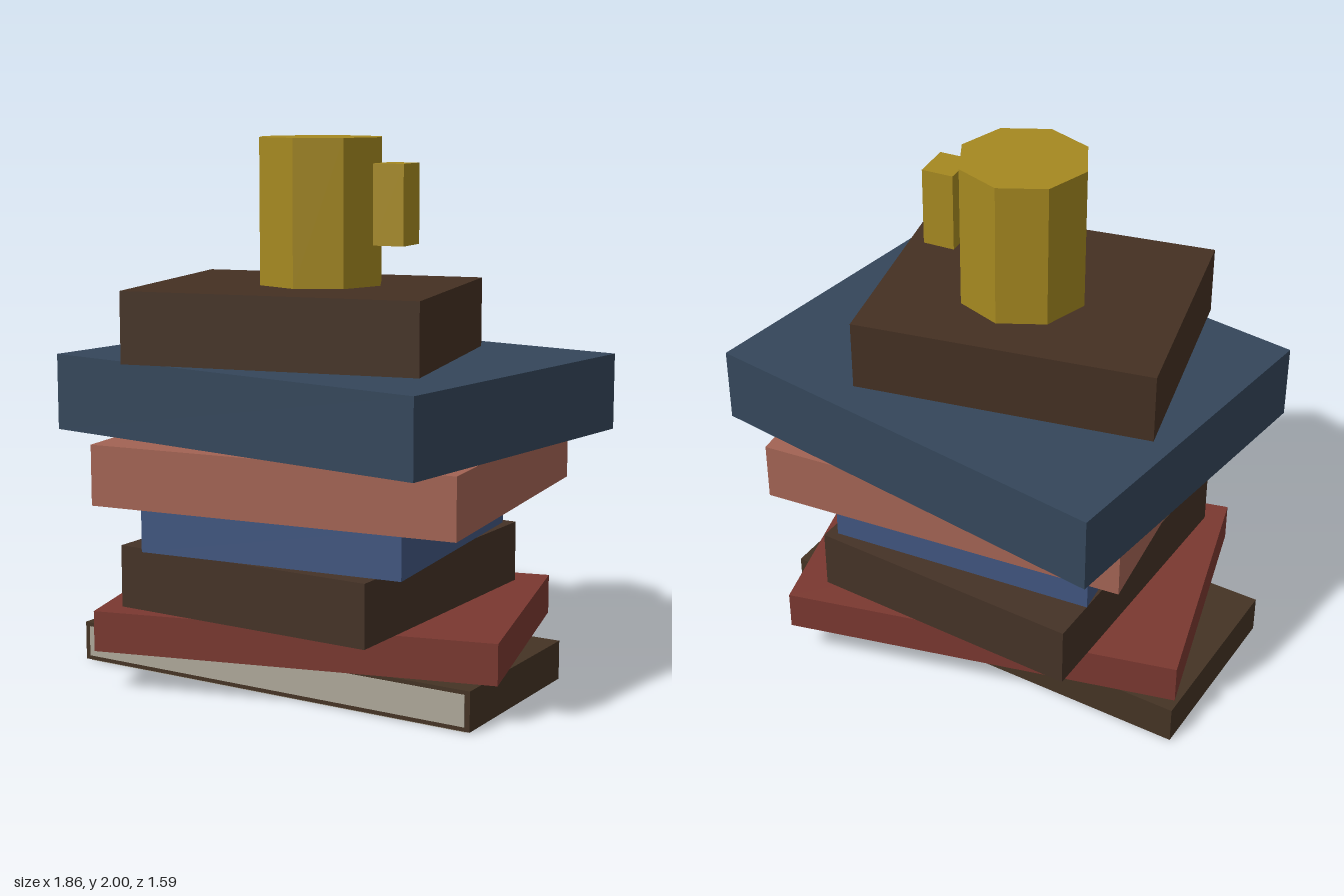
import * as THREE from 'three';

// name, colour, width, depth, bottom y, top y, centre x, centre z, turn about y
const BOOKS = [
  ['bottomBook', 0x443324, 1.66, 0.715, 0.0, 0.15, -0.07, 0.007, -0.112],
  ['redBook', 0x7a3830, 1.493, 0.986, 0.15, 0.3, -0.033, -0.012, 0.153],
  ['lowerBrownBook', 0x443226, 1.038, 1.114, 0.3, 0.53, -0.05, 0.002, -0.126],
  ['smallBlueBook', 0x40557f, 1.01, 1.0, 0.53, 0.71, -0.01, 0.047, 0.004],
  ['salmonBook', 0xa26353, 1.38, 1.195, 0.71, 0.93, 0.033, 0.053, 0.0145],
  ['largeBlueBook', 0x34465a, 1.611, 1.267, 0.93, 1.21, 0, 0, -0.225],
  ['topBrownBook', 0x443022, 1.093, 0.877, 1.21, 1.47, -0.083, 0.072, 0.124],
];

function addMesh(parent, name, geometry, color, x, y, z) {
  const material = new THREE.MeshStandardMaterial({ color, flatShading: true });
  const mesh = new THREE.Mesh(geometry, material);
  mesh.name = name;
  mesh.position.set(x, y, z);
  parent.add(mesh);
  return mesh;
}

export function createModel() {
  const model = new THREE.Group();
  model.name = 'bookStackWithMug';

  // Stack of turned books
  for (const [name, color, w, d, y0, y1, x, z, turn] of BOOKS) {
    const book = new THREE.Group();
    book.name = name;
    book.position.set(x, y0, z);
    book.rotation.y = turn;
    model.add(book);
    const lift = name === 'bottomBook' ? 0.004 : 0;
    const h = y1 - y0 - lift;
    addMesh(book, name + 'Cover', new THREE.BoxGeometry(w, h, d), color, 0, lift + h / 2, 0);

    // Pale pages show on the front and underside of the bottom book
    if (name === 'bottomBook') {
      const pages = 0xaca698;
      addMesh(book, 'pageEdge', new THREE.BoxGeometry(w - 0.04, 0.115, 0.006), pages, 0, 0.0775, d / 2);
      addMesh(book, 'pageUnderside', new THREE.BoxGeometry(w - 0.04, 0.008, d - 0.01), pages, 0, 0.004, 0);
    }
  }

  // Eight-sided mug with a block handle
  const mug = new THREE.Group();
  mug.name = 'mug';
  mug.position.set(-0.05, 1.47, 0.02);
  model.add(mug);
  const gold = 0xa58820;
  addMesh(mug, 'mugBody', new THREE.CylinderGeometry(0.235, 0.235, 0.53, 8), gold, 0, 0.265, 0);
  addMesh(mug, 'mugHandle', new THREE.BoxGeometry(0.118, 0.29, 0.145), gold, 0.296, 0.295, 0);

  return model;
}
